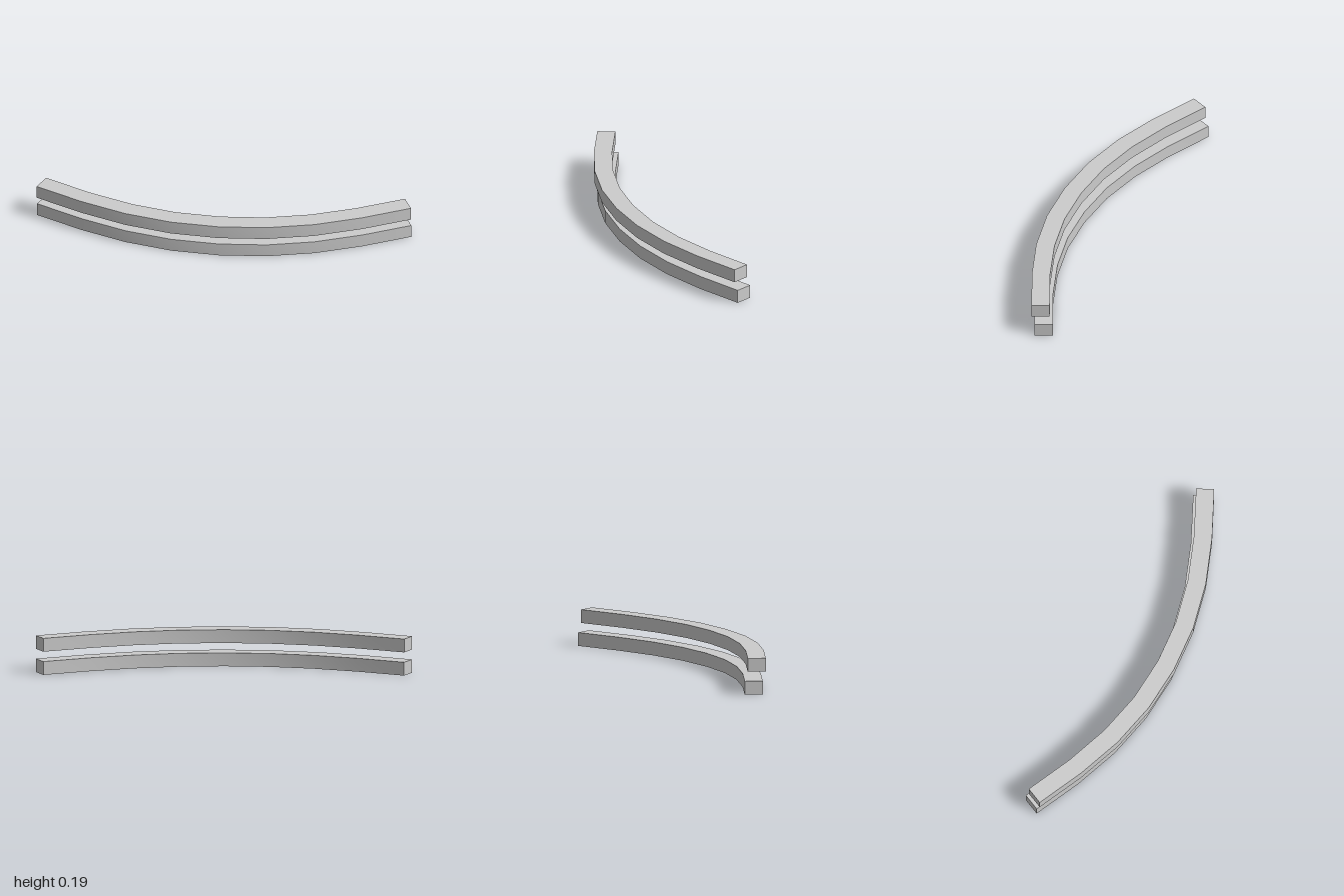
import * as THREE from 'three';
import { toCreasedNormals } from 'three/addons/utils/BufferGeometryUtils.js';

// Right half of the bowed outline as [x, z], from the middle to the tip
const FRONT = [[0, 0.195], [0.255, 0.177], [0.505, 0.121], [0.75, 0.03], [1, -0.088]];
const BACK = [[0, 0.097], [0.241, 0.08], [0.477, 0.027], [0.711, -0.059], [0.959, -0.175]];

// Mirror a half curve into a full one running from -x to +x
function fullCurve(half) {
  const left = half.slice(1).reverse().map(([x, z]) => [-x, z]);
  return [...left, ...half];
}

// Curved rectangular bar: the bowed outline raised to the given height
function createBar(name, height, y, z) {
  const outline = [...fullCurve(FRONT), ...fullCurve(BACK).reverse()];
  const shape = new THREE.Shape(outline.map(([px, pz]) => new THREE.Vector2(px, -pz)));
  const solid = new THREE.ExtrudeGeometry(shape, { depth: height, bevelEnabled: false });
  solid.rotateX(-Math.PI / 2);
  const geometry = toCreasedNormals(solid, 0.6);
  const bar = new THREE.Mesh(geometry, new THREE.MeshStandardMaterial({ color: 0xcccccc }));
  bar.name = name;
  bar.position.set(0, y, z);
  return bar;
}

export function createModel() {
  const model = new THREE.Group();
  model.name = 'curvedRails';
  // The lower bar sits slightly further back than the upper one
  model.add(createBar('lowerRail', 0.072, 0, -0.018));
  model.add(createBar('upperRail', 0.072, 0.122, 0));
  return model;
}
